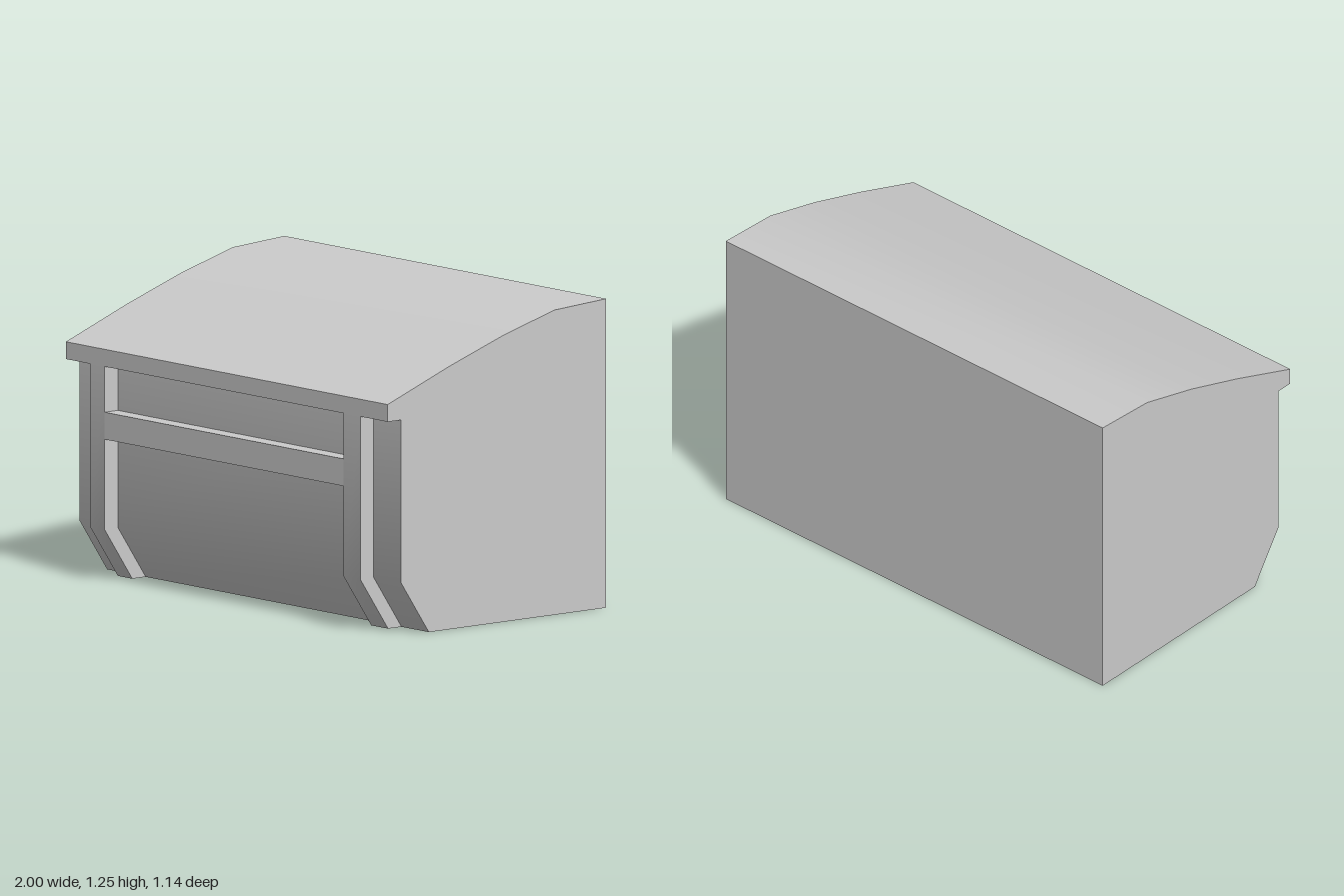
import * as THREE from 'three';
import { toCreasedNormals } from 'three/addons/utils/BufferGeometryUtils.js';

const material = new THREE.MeshStandardMaterial({ color: 0xcccccc });

// Extrudes a side profile of [z, y] points across the width from x0 to x1.
function sideExtrusion(name, profile, x0, x1) {
  const shape = new THREE.Shape(profile.map(([z, y]) => new THREE.Vector2(z, y)));
  const geometry = new THREE.ExtrudeGeometry(shape, { depth: x1 - x0, bevelEnabled: false });
  geometry.rotateY(-Math.PI / 2);
  geometry.translate(x1, 0, 0);
  const mesh = new THREE.Mesh(toCreasedNormals(geometry, THREE.MathUtils.degToRad(40)), material);
  mesh.name = name;
  return mesh;
}

export function createModel() {
  const group = new THREE.Group();
  group.name = 'slopedChest';

  const back = -0.57, panel = 0.5, front = 0.57;
  const lidBottom = 0.875, bend = 0.215;

  // Body with chamfered foot, recessed front and an overhanging curved lid
  group.add(sideExtrusion('bodyAndLid', [
    [back, 0], [0.355, 0], [panel, bend], [panel, lidBottom],
    [front, lidBottom], [front, 0.945],
    [0.25, 1.065], [-0.03, 1.16], [-0.3, 1.235], [back, 1.252],
  ], -1, 1));

  // Raised posts that follow the chamfer down to the ground
  const postProfile = [
    [0.355, 0], [0.425, 0], [front, bend], [front, lidBottom], [panel, lidBottom], [panel, bend],
  ];
  group.add(sideExtrusion('rightPost', postProfile, -0.85, -0.76));
  group.add(sideExtrusion('leftPost', postProfile, 0.725, 0.83));

  // Rail between the posts, separating the upper and lower panels
  group.add(sideExtrusion('crossRail', [
    [panel, 0.58], [front, 0.58], [front, 0.69], [panel, 0.69],
  ], -0.76, 0.725));

  return group;
}
